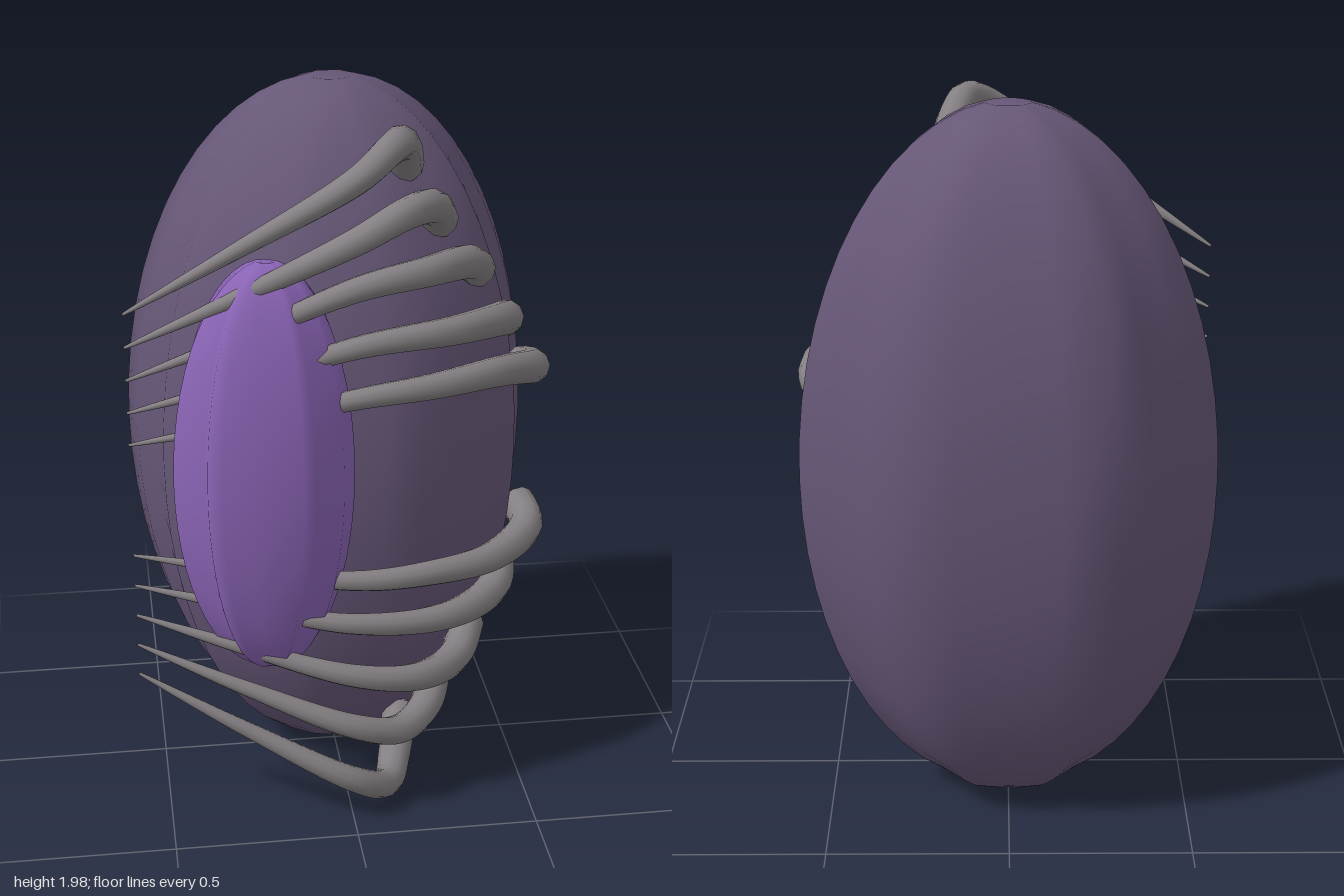
import * as THREE from 'three';

// Ribbed pod: one lobed outline (x, z, counter-clockwise from above) swept along a half-ellipse
function ribbedPod(outline, centre, yMid, halfHeight, rings = 28) {
  const n = outline.length;
  const pos = [centre[0], yMid + halfHeight - 0.012, centre[1]];
  const index = [];
  for (let i = 1; i < rings; i++) {
    const t = (i / rings) * Math.PI;
    const s = Math.sin(t);
    for (const [x, z] of outline) {
      pos.push(centre[0] + (x - centre[0]) * s, yMid + halfHeight * Math.cos(t), centre[1] + (z - centre[1]) * s);
    }
  }
  const last = pos.length / 3;
  pos.push(centre[0], yMid - halfHeight + 0.012, centre[1]);
  for (let j = 0; j < n; j++) {
    const k = (j + 1) % n;
    index.push(0, 1 + j, 1 + k);
    for (let i = 0; i < rings - 2; i++) {
      const a = 1 + i * n + j, d = 1 + i * n + k;
      index.push(a, a + n, d, a + n, d + n, d);
    }
    index.push(last - n + j, last, last - n + k);
  }
  const g = new THREE.BufferGeometry();
  g.setAttribute('position', new THREE.Float32BufferAttribute(pos, 3));
  g.setIndex(index);
  g.computeVertexNormals();
  return g;
}

// Tube that thins from a blunt root to a needle tip
function taperedTube(points, rootRadius, tipRadius) {
  const segs = 40, sides = 10;
  const curve = new THREE.CatmullRomCurve3(points.map(p => new THREE.Vector3(...p)));
  const g = new THREE.TubeGeometry(curve, segs, 1, sides);
  const p = g.attributes.position;
  const v = new THREE.Vector3();
  for (let i = 0; i <= segs; i++) {
    const u = i / segs;
    const c = curve.getPointAt(u);
    let r = tipRadius + (rootRadius - tipRadius) * Math.pow(1 - u, 0.85);
    if (i === 0) r = 0.0005;
    for (let j = 0; j <= sides; j++) {
      const k = i * (sides + 1) + j;
      v.fromBufferAttribute(p, k).sub(c).multiplyScalar(r).add(c);
      p.setXYZ(k, v.x, v.y, v.z);
    }
  }
  return g;
}

export function createModel() {
  const model = new THREE.Group();
  const material = (name, color) => {
    const m = new THREE.MeshStandardMaterial({ color });
    m.name = name;
    return m;
  };
  const shellMat = material('dusky violet', 0x665777);
  const podMat = material('bright violet', 0x8a64b5);
  const clawMat = material('warm grey', 0x858083);
  const add = (name, geometry, mat, parent = model) => {
    const mesh = new THREE.Mesh(geometry, mat);
    mesh.name = name;
    parent.add(mesh);
  };

  // Large shell: right half of the outline, mirrored
  const half = [
    [0.09, 0.37], [0.19, 0.345], [0.28, 0.29], [0.38, 0.225], [0.48, 0.13], [0.485, 0.07], [0.49, 0.01],
    [0.54, -0.10], [0.56, -0.215], [0.47, -0.29], [0.37, -0.40], [0.29, -0.497], [0.14, -0.523],
  ];
  const mirrored = half.map(([x, z]) => [-x, z]).reverse();
  const shell = [[0, 0.365], ...half, [0, -0.51], ...mirrored];
  add('shell', ribbedPod(shell, [0, -0.09], 1.005, 0.995), shellMat);

  // Small pod held against the front of the shell
  const pod = [
    [-0.44, 0.24], [-0.435, 0.31], [-0.467, 0.385], [-0.39, 0.41], [-0.385, 0.465], [-0.35, 0.503],
    [-0.265, 0.487], [-0.145, 0.52], [-0.11, 0.467], [-0.035, 0.465], [0.003, 0.385], [0.003, 0.335],
    [-0.1, 0.29], [-0.12, 0.25], [-0.19, 0.25], [-0.215, 0.22], [-0.26, 0.215], [-0.3, 0.235], [-0.37, 0.22],
  ];
  add('innerPod', ribbedPod(pod, [-0.215, 0.335], 1.06, 0.58), podMat);

  // Claws: root to elbow points, then the height at x = 0 and at the tip
  const claws = [
    { path: [[0.17, 1.79, 0.10], [0.14, 1.895, 0.24], [0.10, 1.92, 0.35]], mid: 1.86, tip: 1.50 },
    { path: [[0.26, 1.65, 0.13], [0.215, 1.735, 0.26], [0.13, 1.755, 0.37]], mid: 1.705, tip: 1.41 },
    { path: [[0.37, 1.505, 0.11], [0.31, 1.575, 0.24], [0.18, 1.60, 0.37]], mid: 1.58, tip: 1.32 },
    { path: [[0.46, 1.33, 0.02], [0.43, 1.39, 0.17], [0.26, 1.43, 0.345]], mid: 1.425, tip: 1.23 },
    { path: [[0.51, 1.18, -0.02], [0.53, 1.22, 0.10], [0.40, 1.28, 0.27], [0.2, 1.295, 0.385]], mid: 1.285, tip: 1.14 },
    { path: [[0.51, 0.78, -0.02], [0.53, 0.745, 0.10], [0.40, 0.735, 0.27], [0.2, 0.755, 0.385]], mid: 0.765, tip: 0.82 },
    { path: [[0.46, 0.65, 0.02], [0.43, 0.595, 0.17], [0.26, 0.60, 0.345]], mid: 0.635, tip: 0.73 },
    { path: [[0.37, 0.475, 0.11], [0.31, 0.415, 0.24], [0.18, 0.43, 0.37]], mid: 0.475, tip: 0.64 },
    { path: [[0.27, 0.335, 0.13], [0.225, 0.275, 0.26], [0.13, 0.265, 0.37]], mid: 0.315, tip: 0.55 },
    { path: [[0.18, 0.20, 0.10], [0.14, 0.10, 0.24], [0.10, 0.08, 0.35]], mid: 0.145, tip: 0.46 },
  ];
  const clawGroup = new THREE.Group();
  clawGroup.name = 'claws';
  model.add(clawGroup);
  claws.forEach(({ path, mid, tip }, i) => {
    const middle = (mid + tip) / 2;
    const points = [...path, [0, mid, 0.42], [-0.29, middle, 0.375], [-0.575, tip, 0.305]];
    add(i < 5 ? 'upperClaw' : 'lowerClaw', taperedTube(points, 0.052, 0.004), clawMat, clawGroup);
  });

  return model;
}
